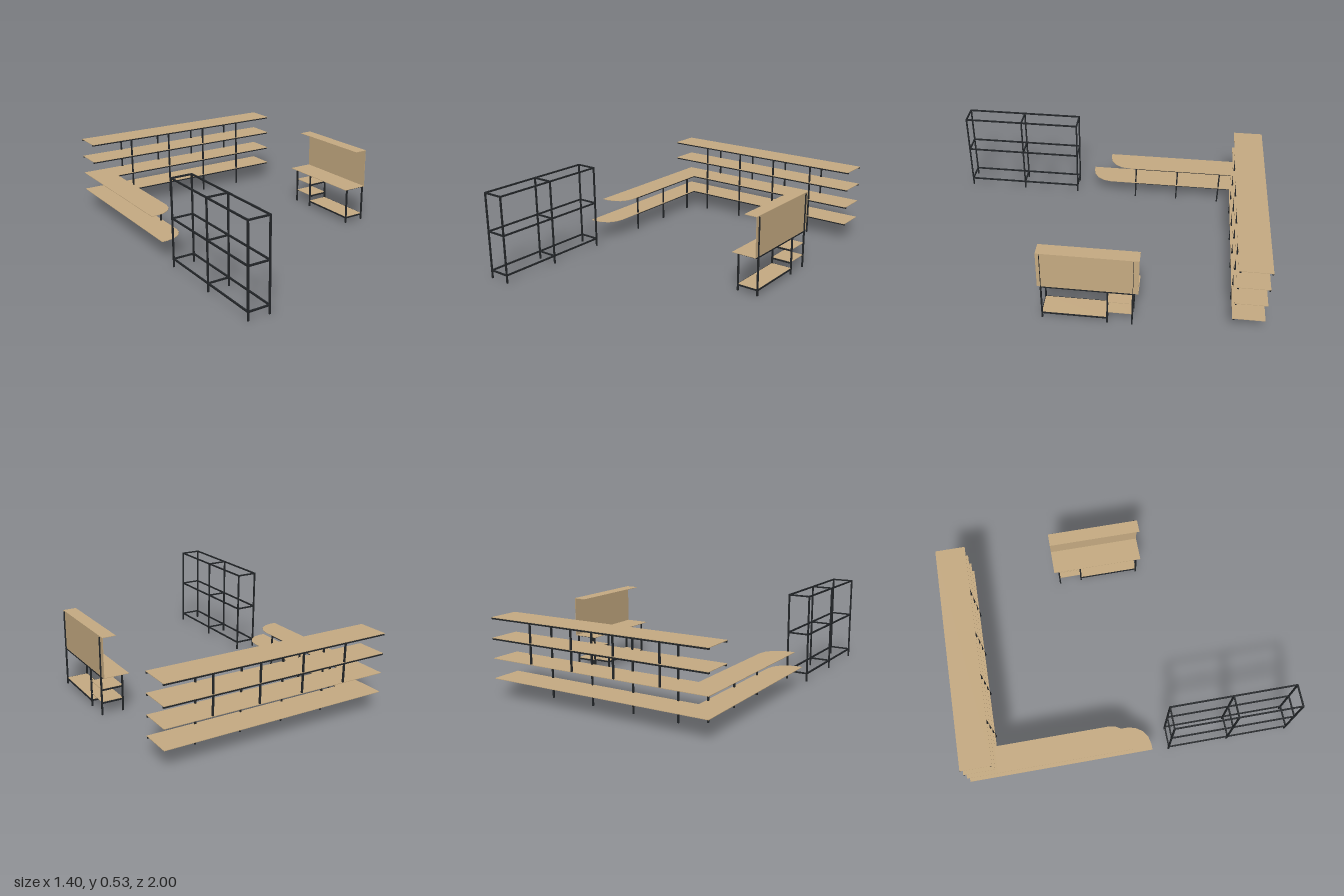
import * as THREE from 'three';

export function createModel() {
  const wood = new THREE.MeshStandardMaterial({ color: 0xc6ab82 });
  wood.name = 'light wood';
  const steel = new THREE.MeshStandardMaterial({ color: 0x24272a });
  steel.name = 'dark steel';

  const T = 0.009; // bar thickness
  const B = 0.003; // board thickness
  const model = new THREE.Group();
  model.name = 'shopFittings';

  const group = (name) => {
    const g = new THREE.Group();
    g.name = name;
    model.add(g);
    return g;
  };
  // box from its minimum and maximum corners
  const box = (parent, name, mat, x0, x1, y0, y1, z0, z1) => {
    const m = new THREE.Mesh(new THREE.BoxGeometry(x1 - x0, y1 - y0, z1 - z0), mat);
    m.position.set((x0 + x1) / 2, (y0 + y1) / 2, (z0 + z1) / 2);
    m.name = name;
    parent.add(m);
  };
  const h = T / 2;
  const post = (p, x, z, y0, y1) => box(p, 'post', steel, x - h, x + h, y0, y1, z - h, z + h);
  const beamX = (p, x0, x1, y, z) => box(p, 'crossBeam', steel, x0, x1, y - h, y + h, z - h, z + h);
  const beamZ = (p, x, y, z0, z1) => box(p, 'longBeam', steel, x - h, x + h, y - h, y + h, z0, z1);
  const board = (p, name, x0, x1, y, z0, z1) => box(p, name, wood, x0, x1, y - B, y, z0, z1);

  // Long wall shelving: four boards on front and rear steel
  const wall = group('wallShelving');
  const postXs = [-0.423, -0.139, 0.135, 0.42];
  for (const y of [0.119, 0.236, 0.355, 0.473]) {
    board(wall, 'wallShelf', -0.703, 0.7, y, -1, -0.815);
    if (y < 0.3) beamX(wall, -0.553, 0.7, y - B - h, -0.824);
    else for (const z of [-0.995, -0.824]) beamX(wall, -0.703, 0.7, y - B - h, z);
  }
  for (const x of postXs) {
    post(wall, x, -0.824, 0, 0.465);
    post(wall, x, -0.995, 0.236, 0.465);
  }

  // Side arm: two boards with a rounded front end
  const arm = group('sideArm');
  const armBoard = (y, end) => {
    const s = new THREE.Shape();
    s.moveTo(-0.703, 0.815);
    s.lineTo(-0.703, -end);
    s.lineTo(-0.67, -end);
    for (let i = 1; i <= 4; i++) {
      const a = (i / 4) * Math.PI / 2;
      s.lineTo(-0.67 + 0.13 * Math.sin(a), -(end - 0.13 + 0.13 * Math.cos(a)));
    }
    s.lineTo(-0.54, 0.815);
    const geo = new THREE.ExtrudeGeometry(s, { depth: B, bevelEnabled: false });
    geo.rotateX(-Math.PI / 2);
    const m = new THREE.Mesh(geo, wood);
    m.position.y = y - B;
    m.name = 'roundedShelf';
    arm.add(m);
    beamZ(arm, -0.552, y - B - h, -0.824, -0.17);
  };
  armBoard(0.236, 0.01);
  armBoard(0.119, 0.13);
  for (const z of [-0.172, -0.455, -0.74]) post(arm, -0.552, z, 0, 0.233);

  // Desk with back panel, top ledge and small side shelves
  const desk = group('desk');
  const [dx0, dx1] = [0.565, 0.695];
  const [zf, zm, zb] = [0.265, -0.113, -0.256];
  board(desk, 'deskTop', 0.535, 0.69, 0.236, -0.287, 0.287);
  board(desk, 'topLedge', 0.61, 0.692, 0.476, -0.287, 0.287);
  box(desk, 'backPanel', wood, 0.688, 0.691, 0.236, 0.474, -0.287, 0.287);
  for (const z of [zf, zb]) box(desk, 'panelUpright', steel, 0.691, 0.7, 0.233, 0.472, z - 0.001, z + 0.001);
  for (const x of [dx0, dx1]) {
    for (const z of [zf, zm, zb]) post(desk, x, z, 0, 0.233);
    beamZ(desk, x, 0.035, zm, zf);
  }
  for (const x of [dx0, 0.685]) beamZ(desk, x, 0.228, zb, zf);
  for (const z of [zf, zm, zb]) beamX(desk, dx0, 0.69, 0.228, z);
  for (const z of [zf, zm]) beamX(desk, dx0, dx1, 0.035, z);
  board(desk, 'lowerShelf', dx0, dx1, 0.041, zm, zf);
  for (const y of [0.16, 0.081]) {
    board(desk, 'smallShelf', dx0, dx1, y, zb, zm);
    for (const z of [zm, zb]) beamX(desk, dx0, dx1, y - B - h, z);
  }

  // Open steel rack
  const rack = group('openRack');
  const [rx0, rx1] = [-0.69, -0.56];
  const rackZs = [0.24, 0.617, 0.995];
  for (const x of [rx0, rx1]) for (const z of rackZs) post(rack, x, z, 0, 0.534);
  for (const y of [0.05, 0.295, 0.53]) {
    for (const z of rackZs) beamX(rack, rx0, rx1, y, z);
    for (const x of [rx0, rx1]) beamZ(rack, x, y, rackZs[0], rackZs[2]);
  }

  return model;
}
